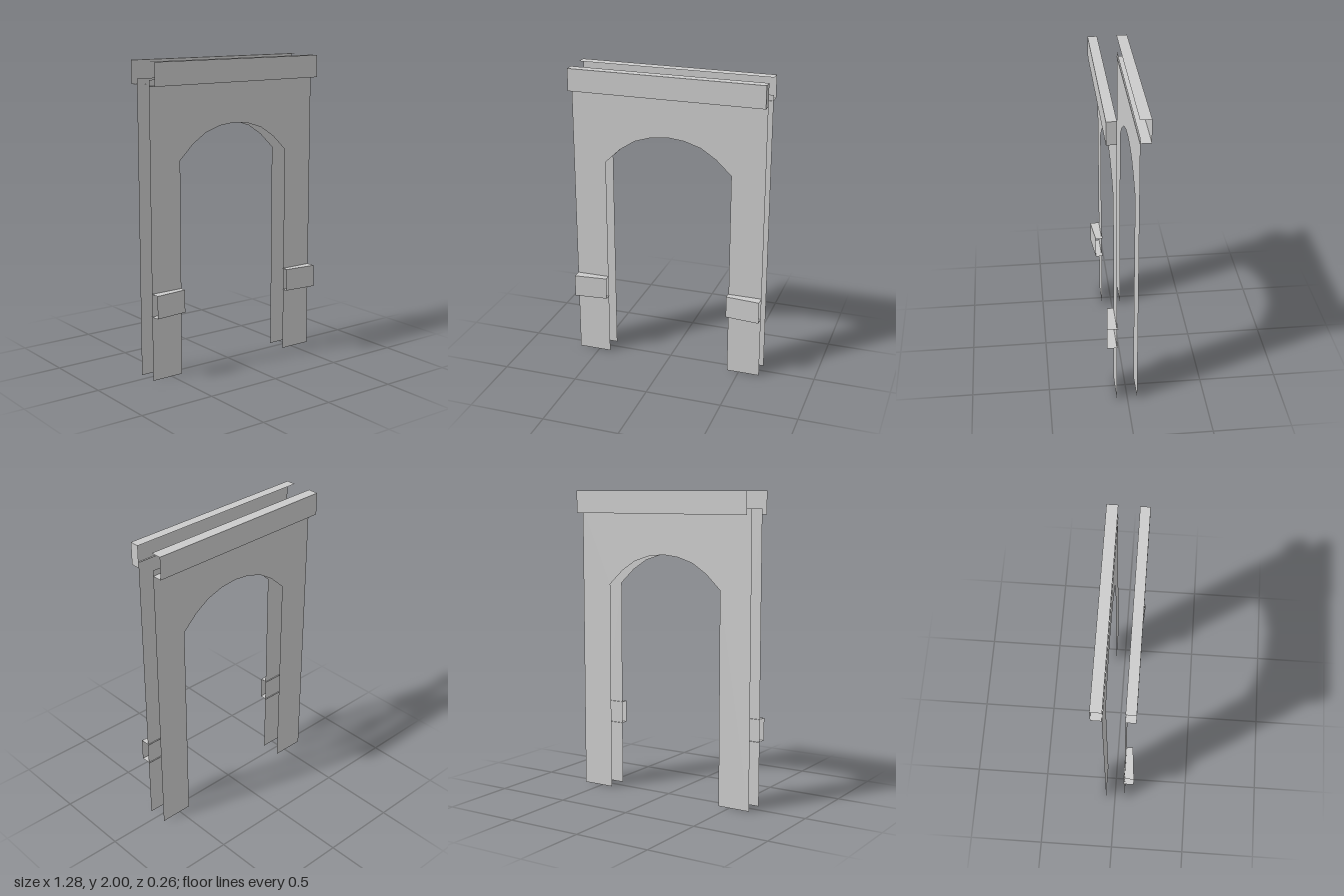
import * as THREE from 'three';

const material = new THREE.MeshStandardMaterial({
  color: 0xcccccc, flatShading: true, side: THREE.DoubleSide,
});

function addMesh(group, name, geometry) {
  const mesh = new THREE.Mesh(geometry, material);
  mesh.name = name;
  group.add(mesh);
  return mesh;
}

// Open channel of thin sheets (top, face, bottom); the face may run at an angle.
function channel(x0, x1, y0, y1, zBack, zFace0, zFace1, capRight = false) {
  const row = (x, zFace) => [
    [x, y1, zBack], [x, y1, zFace], [x, y0, zFace], [x, y0, zBack],
  ];
  const a = row(x0, zFace0), b = row(x1, zFace1);
  const positions = [];
  const quad = (p, q, r, s) => positions.push(...p, ...q, ...r, ...p, ...r, ...s);
  const outward = zFace0 > zBack;
  for (let i = 0; i < 3; i++) {
    if (outward) quad(a[i], a[i + 1], b[i + 1], b[i]);
    else quad(a[i], b[i], b[i + 1], a[i + 1]);
  }
  if (capRight) quad(b[0], b[1], b[2], b[3]);
  const geometry = new THREE.BufferGeometry();
  geometry.setAttribute('position', new THREE.Float32BufferAttribute(positions, 3));
  geometry.computeVertexNormals();
  return geometry;
}

// Flat wall sheet with a faceted segmental arch opening
function archedPanel() {
  const half = [[0.42, 1.385], [0.32, 1.48], [0.22, 1.545], [0.11, 1.58]];
  const arch = [
    ...half.map(([x, y]) => [-x, y]),
    [0, 1.592],
    ...half.slice().reverse(),
  ];
  const outline = [
    [-0.64, 0], [-0.42, 0], ...arch, [0.42, 0], [0.64, 0], [0.64, 1.89], [-0.64, 1.89],
  ];
  return new THREE.ShapeGeometry(new THREE.Shape(outline.map(([x, y]) => new THREE.Vector2(x, y))));
}

export function createModel() {
  const group = new THREE.Group();
  group.name = 'archway';

  // Front and back wall sheets
  addMesh(group, 'frontPanel', archedPanel()).position.z = 0.068;
  const back = addMesh(group, 'backPanel', archedPanel());
  back.rotation.y = Math.PI;
  back.position.z = -0.064;

  // Cornices along the top
  addMesh(group, 'frontCornice', channel(-0.64, 0.64, 1.853, 1.998, 0.068, 0.13, 0.13, true));
  addMesh(group, 'backCornice', channel(-0.64, 0.64, 1.853, 2, -0.06, -0.13, -0.13));

  // Bands on the front of the two piers, tapering towards the opening
  addMesh(group, 'rightBand', channel(-0.64, -0.42, 0.42, 0.567, 0.06, 0.13, 0.11));
  addMesh(group, 'leftBand', channel(0.415, 0.64, 0.42, 0.567, 0.06, 0.11, 0.13));

  return group;
}
